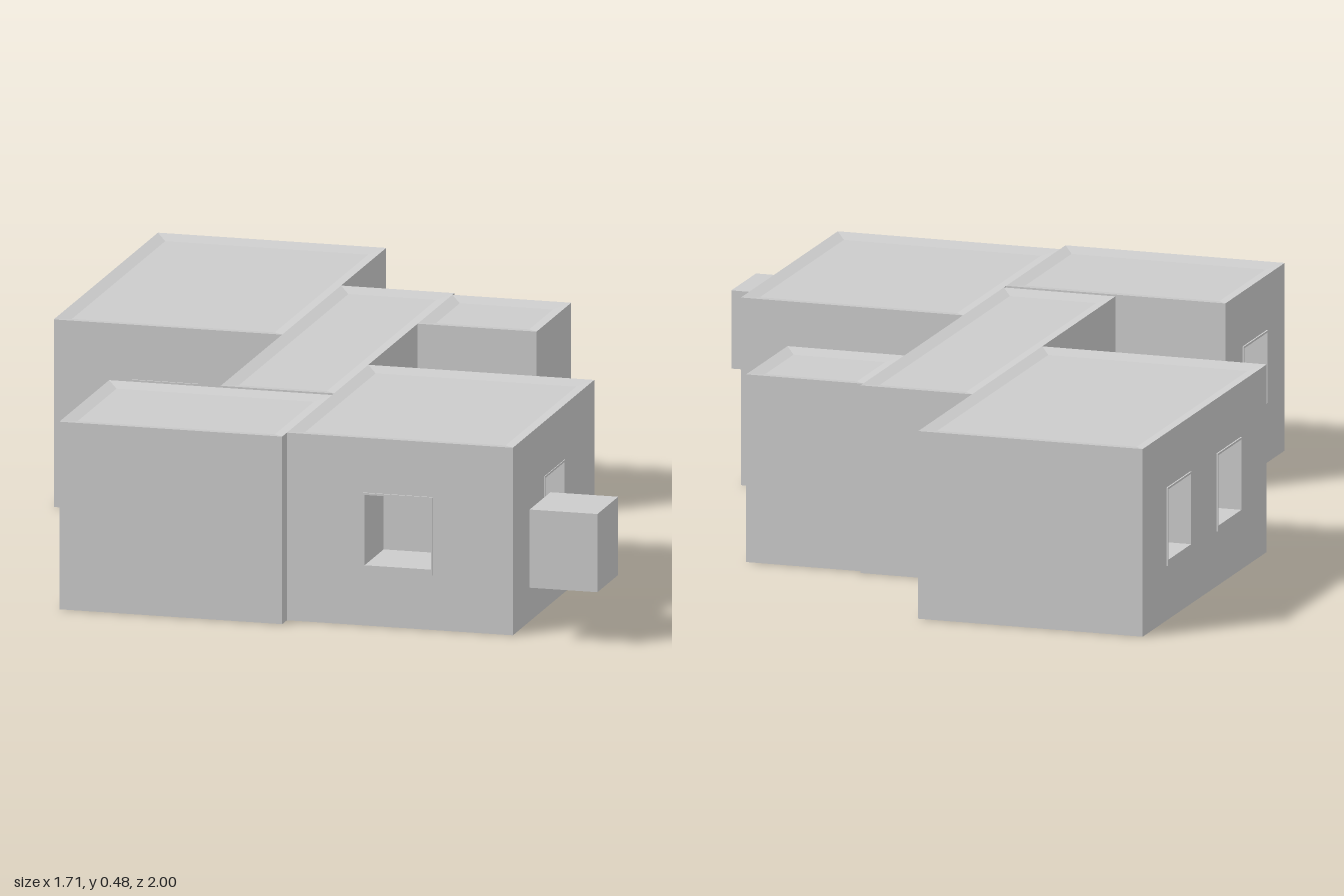
import * as THREE from 'three';

const H = 0.48; // wall height
const grey = new THREE.MeshStandardMaterial({ color: 0xcccccc, flatShading: true });

function add(group, name, geometry) {
  const mesh = new THREE.Mesh(geometry, grey);
  mesh.name = name;
  group.add(mesh);
  return mesh;
}

function rect(Type, u0, u1, v0, v1) {
  return new Type([[u0, v0], [u1, v0], [u1, v1], [u0, v1]].map(p => new THREE.Vector2(...p)));
}

// One wall in the plane z = d, with lined recesses that stand slightly proud
function wall(name, u0, u1, d, openings) {
  const group = new THREE.Group();
  group.name = name;
  const panel = rect(THREE.Shape, u0, u1, 0, H);
  for (const { u, v = [0.155, 0.335], depth = 0.17, proud = 0.004, kind = 'window' } of openings) {
    panel.holes.push(rect(THREE.Path, ...u, ...v));
    const lining = rect(THREE.Shape, u[0] - 0.004, u[1] + 0.004, v[0] - 0.015, v[1] + 0.005);
    lining.holes.push(rect(THREE.Path, ...u, ...v));
    add(group, kind + 'Lining', new THREE.ExtrudeGeometry(lining, { depth: depth + proud, bevelEnabled: false }))
      .position.z = d - depth;
    add(group, kind + 'Back', new THREE.ShapeGeometry(rect(THREE.Shape, ...u, ...v))).position.z = d - depth;
  }
  add(group, 'wallPanel', new THREE.ShapeGeometry(panel)).position.z = d;
  return group;
}

// Shallow dished roof: an outer rim sloping down to a flat middle
function roof(x0, x1, z0, z1) {
  const ix = 0.033, iz = 0.05, y = H - 0.008;
  const ring = (a, b, c, e, h) => [a, h, e, b, h, e, b, h, c, a, h, c];
  const geometry = new THREE.BufferGeometry();
  geometry.setAttribute('position', new THREE.Float32BufferAttribute(
    [...ring(x0, x1, z0, z1, H), ...ring(x0 + ix, x1 - ix, z0 + iz, z1 - iz, y)], 3));
  const index = [4, 5, 6, 4, 6, 7];
  for (let i = 0; i < 4; i++) {
    const j = (i + 1) % 4;
    index.push(i, j, j + 4, i, j + 4, i + 4);
  }
  geometry.setIndex(index);
  const flat = geometry.toNonIndexed();
  flat.computeVertexNormals();
  return flat;
}

function room(name, x0, x1, z0, z1, { front = [], left = [], right = [] } = {}) {
  const group = new THREE.Group();
  group.name = name;
  // Each wall is laid out facing +z, then turned to its own side
  const sides = [
    ['frontWall', x0, x1, z1, front, 0],
    ['leftWall', -z1, -z0, x1, left, Math.PI / 2],
    ['backWall', -x1, -x0, -z0, [], Math.PI],
    ['rightWall', z0, z1, -x0, right, -Math.PI / 2],
  ];
  for (const [wallName, u0, u1, d, holes, turn] of sides) {
    const side = wall(wallName, u0, u1, d, holes);
    side.rotation.y = turn;
    group.add(side);
  }
  add(group, 'roof', roof(x0, x1, z0, z1));
  const floor = add(group, 'floor', new THREE.PlaneGeometry(x1 - x0, z1 - z0));
  floor.rotation.x = Math.PI / 2;
  floor.position.set((x0 + x1) / 2, 0, (z0 + z1) / 2);
  return group;
}

export function createModel() {
  const model = new THREE.Group();
  model.name = 'house';

  model.add(
    room('largeRoom', -0.85, -0.26, -1, -0.05, {
      front: [{ u: [-0.648, -0.478] }],
      right: [{ u: [-0.815, -0.64] }, { u: [-0.43, -0.255] }],
    }),
    room('corridor', -0.26, 0.033, -0.588, 0.51, {
      left: [{ u: [0.086, 0.23], v: [0.03, 0.275], depth: 0.12, proud: 0.001, kind: 'door' }],
      right: [{ u: [0.064, 0.236], depth: 0.12, proud: 0.04 }],
    }),
    room('smallBackRoom', 0.033, 0.34, -0.57, -0.253),
    room('squareRoom', 0.033, 0.617, 0.197, 0.94, {
      front: [{ u: [0.235, 0.407] }],
      left: [{ u: [-0.65, -0.475], proud: 0.002 }],
    }),
    room('frontRoom', -0.543, 0.033, 0.528, 0.983, {
      right: [{ u: [0.665, 0.84] }],
    }),
  );

  // Inner jamb of the corridor door
  const jamb = add(model, 'doorJamb', new THREE.BoxGeometry(0.02, 0.245, 0.033));
  jamb.position.set(-0.01, 0.1525, -0.2135);

  // Detached block beside the front corner
  const block = add(model, 'detachedBlock', new THREE.BoxGeometry(0.175, 0.2, 0.19));
  block.position.set(0.765, 0.24, 0.905);
  return model;
}
